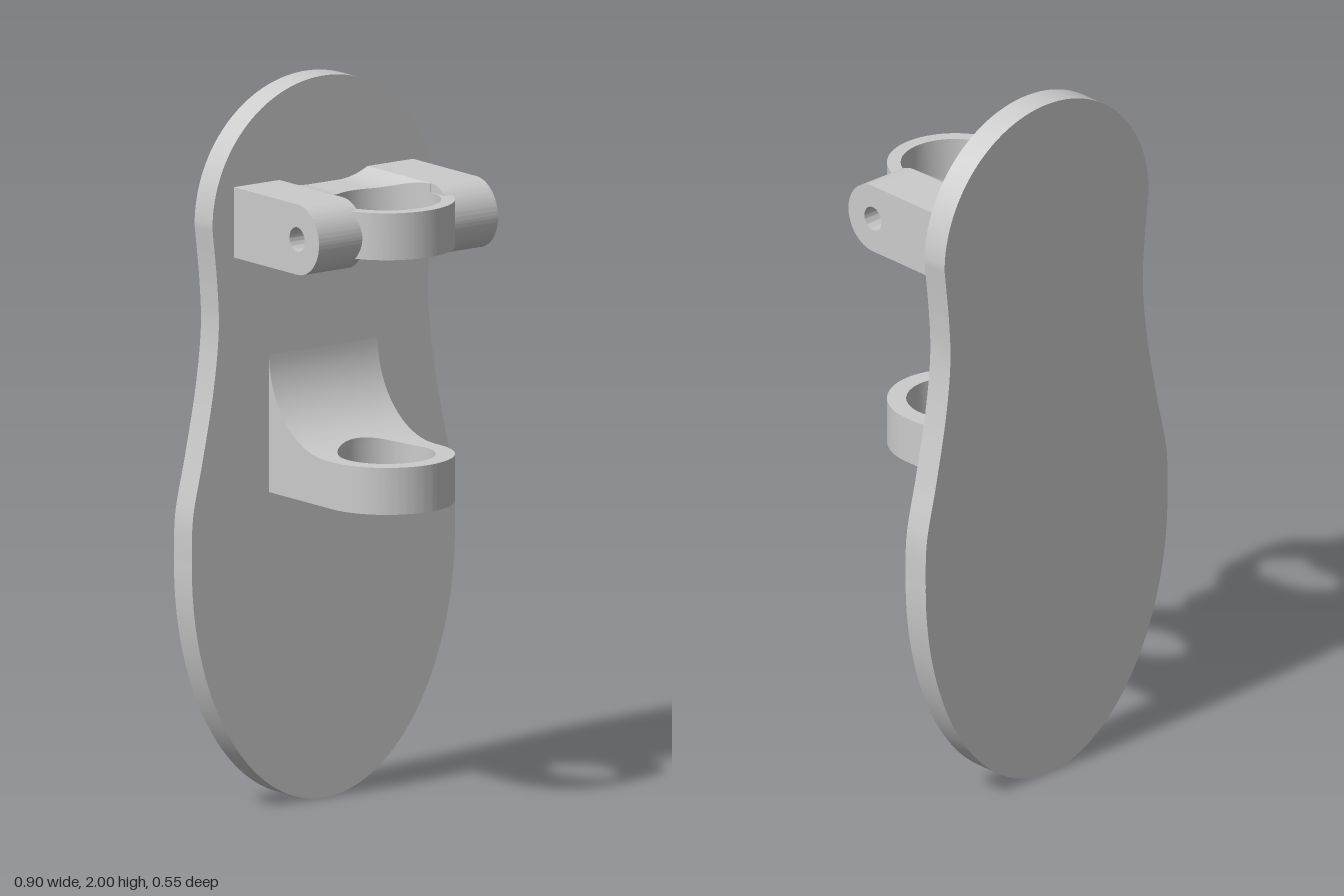
import * as THREE from 'three';
import { toCreasedNormals } from 'three/addons/utils/BufferGeometryUtils.js';

const BACK = -0.195;   // front face of the plate
const AXIS = 0.0875;   // z of the vertical hole axis
const OUTER = 0.185;   // outer radius of both rings

const material = new THREE.MeshStandardMaterial({ color: 0xcccccc });

function part(name, geometry) {
  const mesh = new THREE.Mesh(toCreasedNormals(geometry, 0.5), material);
  mesh.name = name;
  return mesh;
}

function extrude(shape, depth) {
  return new THREE.ExtrudeGeometry(shape, { depth, bevelEnabled: false, curveSegments: 40 });
}

function circleHole(shape, x, y, r) {
  shape.holes.push(new THREE.Path().absarc(x, y, r, 0, Math.PI * 2, true));
}

// Horizontal tongue with a round nose and a hole, drawn in plan (shape y = -z)
function tongue(halfWidth, noseAngle, hole, y0, y1) {
  const s = new THREE.Shape();
  const noseY = -AXIS - OUTER * Math.sin(noseAngle);
  s.moveTo(-halfWidth, -BACK);
  s.lineTo(-halfWidth, noseY);
  s.absarc(0, -AXIS, OUTER, Math.PI + noseAngle, Math.PI * 2 - noseAngle, false);
  s.lineTo(halfWidth, noseY);
  s.lineTo(halfWidth, -BACK);
  circleHole(s, 0, -AXIS, hole);
  return extrude(s, y1 - y0).rotateX(-Math.PI / 2).translate(0, y0, 0);
}

// Solid through [z, y] loops placed at increasing x
function loft(xs, loopAt) {
  const rings = xs.map(x => loopAt(x).map(([z, y]) => [x, y, z]));
  const n = rings[0].length, pos = [];
  const tri = (a, b, c) => pos.push(...a, ...b, ...c);
  for (let i = 0; i < rings.length - 1; i++) {
    for (let k = 0; k < n; k++) {
      const m = (k + 1) % n, p = rings[i], q = rings[i + 1];
      tri(p[k], p[m], q[k]);
      tri(p[m], q[m], q[k]);
    }
  }
  const first = rings[0], last = rings[rings.length - 1];
  for (let k = 0; k < n - 2; k++) {
    tri(last[n - 1], last[k], last[k + 1]);
    tri(first[n - 1], first[k + 1], first[k]);
  }
  const g = new THREE.BufferGeometry();
  g.setAttribute('position', new THREE.Float32BufferAttribute(pos, 3));
  return g;
}

// Columns that follow a round hole, and the z of its rear wall
const columns = r => Array.from({ length: 41 }, (_, i) => r * Math.sin((i / 40 - 0.5) * Math.PI));
const rearWall = (x, r) => AXIS - Math.sqrt(Math.max(0, r * r - x * x));

function createPlate() {
  const side = [[0.444, 0.83], [0.41, 0.99], [0.375, 1.17], [0.357, 1.33], [0.361, 1.46], [0.378, 1.622]]
    .map(([x, y]) => new THREE.Vector2(x, y));
  const mirrored = side.slice(0, -1).reverse().map(p => new THREE.Vector2(-p.x, p.y));
  const s = new THREE.Shape();
  s.moveTo(0.448, 0.69);
  s.splineThru(side);
  s.absarc(0, 1.622, 0.378, 0, Math.PI, false);
  s.splineThru([...mirrored, new THREE.Vector2(-0.448, 0.69)]);
  s.absellipse(0, 0.69, 0.448, 0.69, Math.PI, Math.PI * 2, false, 0);
  return part('backPlate', extrude(s, 0.08).translate(0, 0, BACK - 0.08));
}

function createLowerBracket() {
  const g = new THREE.Group();
  g.name = 'lowerBracket';
  const hole = 0.133, r = 0.25, top = 1.0;
  g.add(part('lowerRing', tongue(OUTER, 0, hole, 0.87, top)));

  // Concave gusset up to the plate, cut by the hole
  const cz = BACK + r;
  const gusset = loft([-OUTER, ...columns(hole), OUTER], x => {
    const end = Math.min(cz, rearWall(x, hole));
    const endAngle = Math.acos((cz - end) / r);
    const loop = [];
    for (let i = 0; i <= 20; i++) {
      const a = endAngle * i / 20;
      loop.push([cz - r * Math.cos(a), top + r - r * Math.sin(a)]);
    }
    loop.push([end, top], [BACK, top]);
    return loop;
  });
  g.add(part('gusset', gusset));
  return g;
}

function createUpperBracket() {
  const g = new THREE.Group();
  g.name = 'upperBracket';
  const hole = 0.148, inner = 0.15, outer = 0.305, top = 1.705;
  const midY = 1.6325, r = 0.0975;
  g.add(part('upperRing', tongue(inner, Math.asin(0.0625 / OUTER), hole, 1.575, top)));

  // Soft rise from the ring's top to the side lugs
  const rise = loft([-inner, ...columns(hole), inner], x => {
    const t = Math.max(0, (Math.abs(x) - 0.05) / 0.1);
    const y = top + 0.025 * t * t;
    const end = rearWall(x, hole);
    return [[BACK, y], [end, y], [end, top], [BACK, top]];
  });
  g.add(part('lugFillet', rise));

  // Round-ended side lugs with pin holes (shape x = -z)
  const s = new THREE.Shape();
  s.moveTo(-BACK, midY + r);
  s.lineTo(-AXIS, midY + r);
  s.absarc(-AXIS, midY, r, Math.PI / 2, Math.PI * 1.5, false);
  s.lineTo(-BACK, midY - r);
  circleHole(s, -AXIS, midY, 0.034);
  for (const [name, x] of [['rightLug', -outer], ['leftLug', inner]]) {
    g.add(part(name, extrude(s, outer - inner).rotateY(Math.PI / 2).translate(x, 0, 0)));
  }
  return g;
}

export function createModel() {
  const model = new THREE.Group();
  model.name = 'wallHolder';
  model.add(createPlate(), createLowerBracket(), createUpperBracket());
  return model;
}
